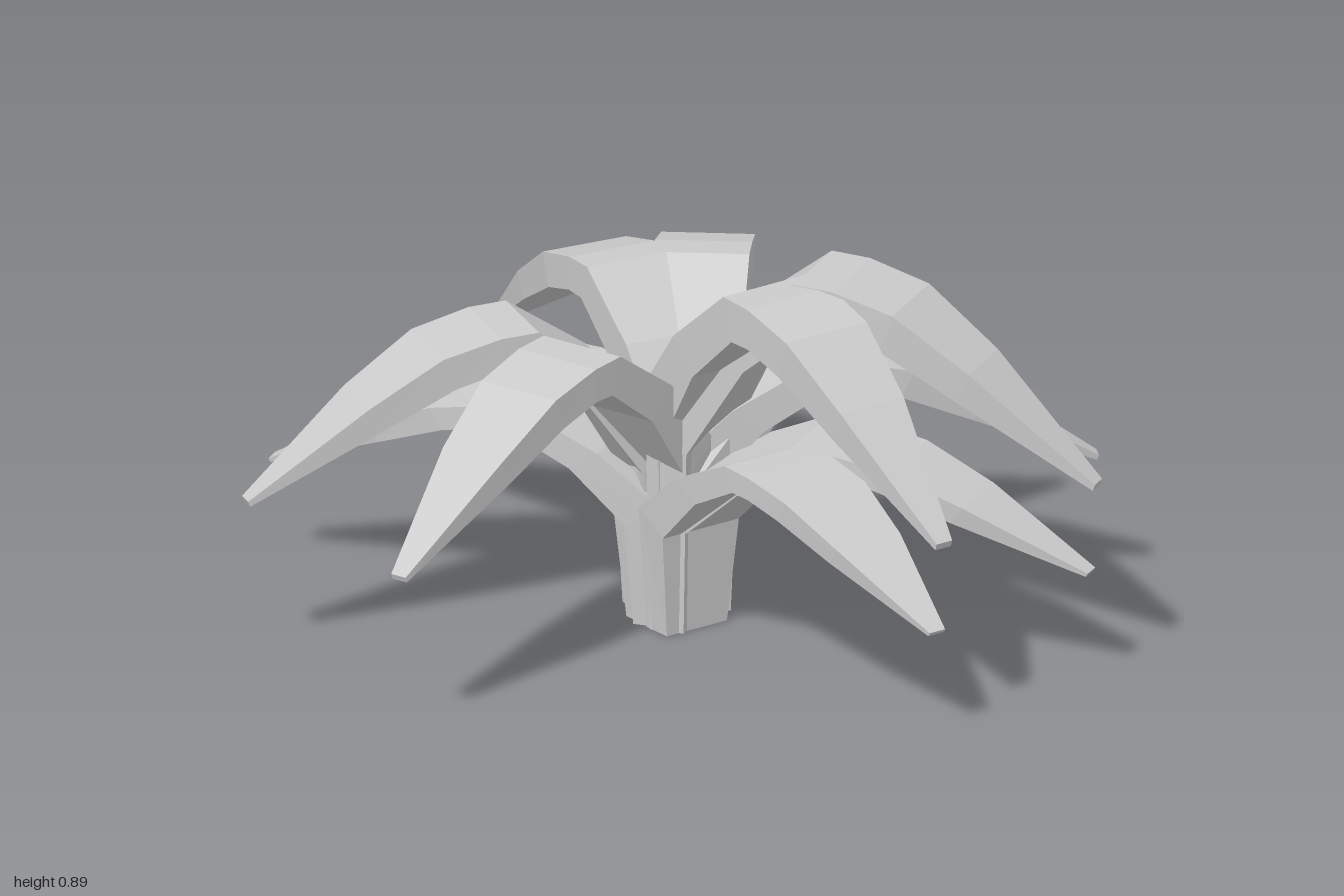
import * as THREE from 'three';

// Leaf stations: [upper reach, upper height, under reach, under height, half width]
const STATIONS = [
  [-0.02, 0, 0.06, 0, 0.085],
  [-0.02, 0.53, 0.075, 0.44, 0.108],
  [0.14, 0.74, 0.21, 0.66, 0.115],
  [0.33, 0.89, 0.36, 0.79, 0.118],
  [0.42, 0.885, 0.42, 0.79, 0.118],
  [0.56, 0.845, 0.53, 0.755, 0.114],
  [0.73, 0.72, 0.7, 0.65, 0.09],
  [1, 0.47, 0.995, 0.455, 0.022],
];

// Solid arching leaf of rectangular section, growing up and then toward +z
function leafGeometry() {
  const positions = [];
  const index = [];
  for (const [r, y, ur, uy, w] of STATIONS) {
    positions.push(-w, y, r, w, y, r, w, uy, ur, -w, uy, ur);
  }
  const last = (STATIONS.length - 1) * 4;
  for (let i = 0; i < last; i += 4) {
    for (let e = 0; e < 4; e++) {
      const a = i + e;
      const b = i + (e + 1) % 4;
      index.push(a, a + 4, b + 4, a, b + 4, b);
    }
  }
  index.push(0, 1, 2, 0, 2, 3);
  index.push(last + 2, last + 1, last, last + 3, last + 2, last);
  const geometry = new THREE.BufferGeometry();
  geometry.setAttribute('position', new THREE.Float32BufferAttribute(positions, 3));
  geometry.setIndex(index);
  geometry.computeVertexNormals();
  return geometry;
}

// Each tier: width and height scale, and its leaves as [root x, root z, tip x, tip z]
const TIERS = [
  { name: 'topLeaf', width: 1, height: 1, leaves: [[0.01, 0.01, 0.02, 1], [-0.01, 0.02, 0.53, 0.9]] },
  {
    name: 'upperLeaf', width: 0.93, height: 0.84,
    leaves: [[0, 0.01, -0.97, 0.27], [0, -0.04, -0.95, -0.33], [0.05, 0.03, 0.205, -0.92], [0.035, 0.03, 0.69, -0.72]],
  },
  { name: 'middleLeaf', width: 0.93, height: 0.69, leaves: [[0, 0.025, 0.98, -0.03], [0.01, -0.03, 0.875, 0.44]] },
  {
    name: 'lowerLeaf', width: 1, height: 0.555,
    leaves: [[-0.005, 0.05, 0, 1], [0, 0.01, 0.51, 0.9], [0, 0.01, 0.005, -1], [0, 0, -0.52, -0.8]],
  },
];

export function createModel() {
  const plant = new THREE.Group();
  plant.name = 'leafyPlant';
  const material = new THREE.MeshStandardMaterial({ color: 0xcccccc, flatShading: true });
  const geometry = leafGeometry();

  // The leaf stems together form the trunk
  for (const { name, width, height, leaves } of TIERS) {
    leaves.forEach(([x, z, tipX, tipZ], i) => {
      const leaf = new THREE.Mesh(geometry, material);
      leaf.name = name + (i + 1);
      leaf.position.set(x, 0, z);
      leaf.rotation.y = Math.atan2(tipX - x, tipZ - z);
      leaf.scale.set(width, height, Math.hypot(tipX - x, tipZ - z));
      plant.add(leaf);
    });
  }
  return plant;
}
